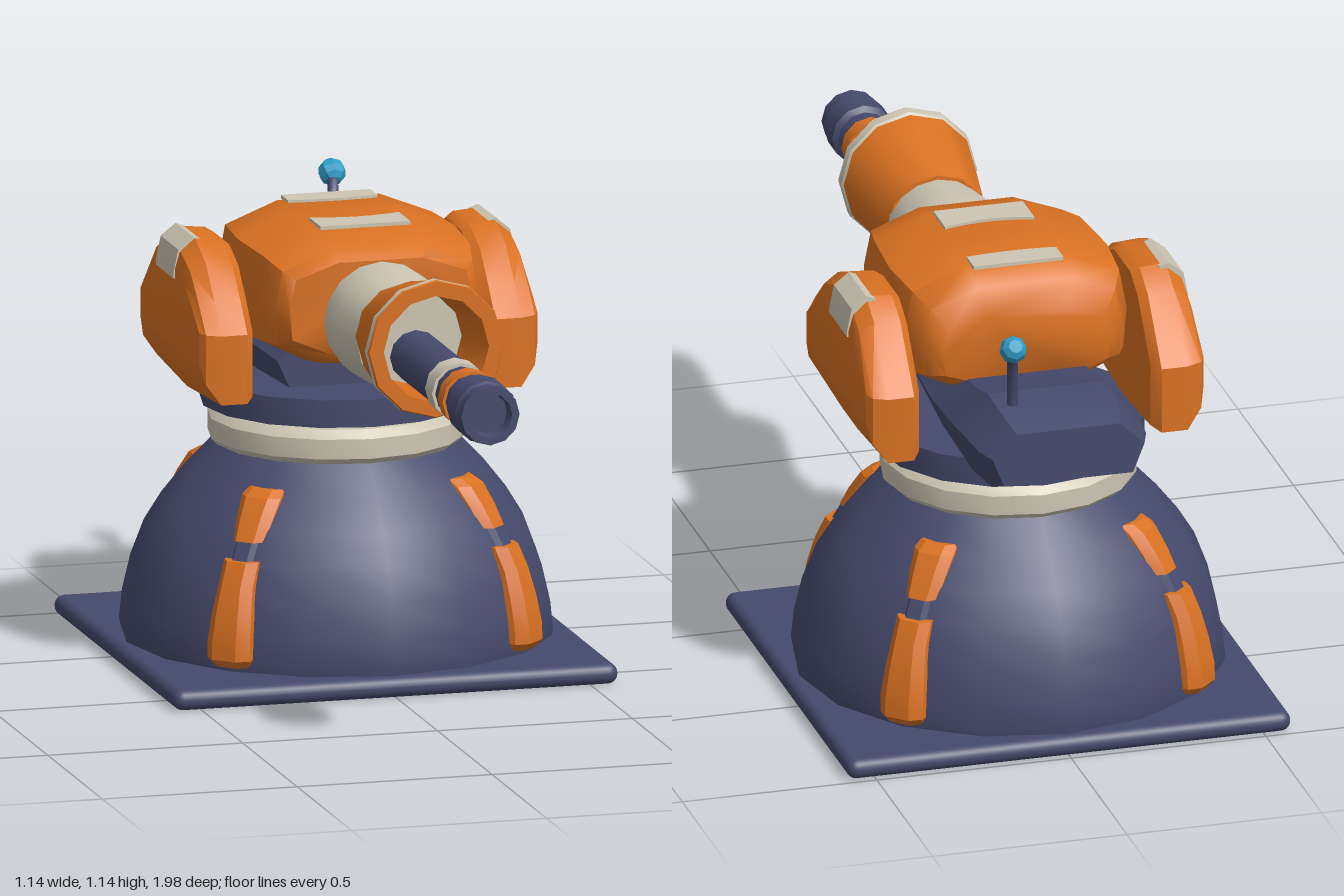
import * as THREE from 'three';
import { toCreasedNormals } from 'three/addons/utils/BufferGeometryUtils.js';
import { RoundedBoxGeometry } from 'three/addons/geometries/RoundedBoxGeometry.js';

const mat = (name, color) => Object.assign(new THREE.MeshStandardMaterial({ color }), { name });
const V = (x, y, z) => new THREE.Vector3(x, y, z);

// Closed solid through equal-length rings of points, always wound outward
function loft(rings, crease = 0.6) {
  const n = rings[0].length, tris = [];
  for (let i = 0; i < rings.length - 1; i++) {
    for (let j = 0; j < n; j++) {
      const k = (j + 1) % n;
      const a = rings[i][j], b = rings[i][k], c = rings[i + 1][k], d = rings[i + 1][j];
      tris.push([a, b, c], [a, c, d]);
    }
  }
  const first = rings[0], last = rings[rings.length - 1];
  for (let j = 1; j < n - 1; j++) {
    tris.push([first[0], first[j + 1], first[j]], [last[0], last[j], last[j + 1]]);
  }
  const volume = tris.reduce((s, [a, b, c]) => s + a.dot(b.clone().cross(c)), 0);
  const pos = [];
  for (const [a, b, c] of tris) {
    for (const p of volume > 0 ? [a, b, c] : [a, c, b]) pos.push(p.x, p.y, p.z);
  }
  const geo = new THREE.BufferGeometry();
  geo.setAttribute('position', new THREE.Float32BufferAttribute(pos, 3));
  return toCreasedNormals(geo, crease);
}

const lathe = (profile, segs, crease = 0.55) =>
  toCreasedNormals(new THREE.LatheGeometry(profile.map(([r, y]) => new THREE.Vector2(r, y)), segs), crease);

export function createModel() {
  const root = new THREE.Group();
  root.name = 'turret';
  const orange = mat('orange', 0xd97122);
  const navy = mat('navy', 0x464a6c);
  const cream = mat('cream', 0xcdc6b4);
  const cyan = mat('cyan', 0x2f9dc6);
  const CZ = -0.43;

  const add = (name, geo, material, parent = root) => {
    const m = new THREE.Mesh(geo, material);
    m.name = name;
    parent.add(m);
    return m;
  };

  // Base plate, dome and the two stacked collars
  add('basePlate', new RoundedBoxGeometry(1.14, 0.052, 1.13, 3, 0.025), navy).position.set(0, 0.027, CZ);
  add('dome', lathe([[0, 0.04], [0.535, 0.04], [0.54, 0.07], [0.533, 0.14], [0.512, 0.23], [0.478, 0.32],
    [0.435, 0.39], [0.38, 0.46], [0.305, 0.54], [0, 0.54]], 16), navy).position.z = CZ;
  add('lowerCollar', lathe([[0, 0.535], [0.3, 0.535], [0.32, 0.555], [0.32, 0.605], [0.3, 0.626], [0, 0.626]], 16),
    cream).position.z = CZ;
  add('upperCollar', lathe([[0, 0.64], [0.34, 0.64], [0.34, 0.71], [0, 0.71]], 16), navy).position.z = CZ;

  // Segmented fins on the four diagonals of the dome: rows of [outer radius, y, half width]
  const finGeo = (rows) => loft(rows.map(([r, y, w]) => [
    V(-w, y, r - 0.14), V(w, y, r - 0.14), V(w, y, r - 0.025), V(w * 0.55, y, r),
    V(-w * 0.55, y, r), V(-w, y, r - 0.025)]), 0.4);
  const finLower = finGeo([[0.55, 0.065, 0.05], [0.567, 0.085, 0.06], [0.565, 0.13, 0.06],
    [0.55, 0.2, 0.055], [0.53, 0.265, 0.048], [0.502, 0.322, 0.048]]);
  const finJoint = finGeo([[0.49, 0.315, 0.036], [0.455, 0.375, 0.036]]);
  const finUpper = finGeo([[0.462, 0.365, 0.045], [0.435, 0.415, 0.05], [0.4, 0.465, 0.055], [0.37, 0.482, 0.05]]);
  for (let i = 0; i < 4; i++) {
    const fin = new THREE.Group();
    fin.name = 'domeFin';
    fin.position.z = CZ;
    fin.rotation.y = Math.PI / 4 + i * Math.PI / 2;
    add('finLower', finLower, orange, fin);
    add('finJoint', finJoint, navy, fin);
    add('finUpper', finUpper, orange, fin);
    root.add(fin);
  }

  // Rounded turret body: sections of [z, half width, bottom, top]
  const half = [[0.46, 1], [0.93, 0.68], [1, 0.05], [0.97, -0.58], [0.55, -0.93]];
  const outline = [...half, [0, -1], ...half.slice().reverse().map(([u, v]) => [-u, v])];
  const hull = ([z, w, lo, hi]) =>
    outline.map(([u, v]) => V(u * w, (lo + hi) / 2 + v * (hi - lo) / 2, z));
  add('turretBody', loft([[-0.015, 0.235, 0.84, 1.08], [-0.05, 0.262, 0.81, 1.105], [-0.15, 0.285, 0.795, 1.13],
    [-0.34, 0.3, 0.79, 1.135], [-0.5, 0.285, 0.8, 1.133], [-0.565, 0.255, 0.82, 1.1],
    [-0.6, 0.215, 0.85, 1.03]].map(hull), 0.9), orange);

  // Two thin plates on the roof, with a bowed inner edge
  for (const [z, depth, bow] of [[-0.525, 0.065, -0.008], [-0.16, 0.105, 0.02]]) {
    const s = new THREE.Shape();
    s.moveTo(-0.115, 0);
    s.lineTo(0.115, 0);
    s.lineTo(0.115, depth);
    s.quadraticCurveTo(0, depth - 2 * bow, -0.115, depth);
    const geo = new THREE.ExtrudeGeometry(s, { depth: 0.009, bevelEnabled: false });
    geo.rotateX(z < -0.4 ? Math.PI / 2 : -Math.PI / 2);
    add('roofPlate', geo, cream).position.set(0, z < -0.4 ? 1.14 : 1.131, z);
  }

  // Rear pod: chamfered sections of [z, half width, bottom, top]
  const pod = ([z, w, lo, hi]) => [[-0.85, 0], [0.85, 0], [1, 0.55], [0.68, 1], [-0.68, 1], [-1, 0.55]]
    .map(([u, t]) => V(u * w, lo + t * (hi - lo), z));
  add('rearPod', loft([[-0.25, 0.2, 0.715, 0.84], [-0.5, 0.22, 0.712, 0.86], [-0.69, 0.225, 0.712, 0.885],
    [-0.79, 0.228, 0.712, 0.912], [-0.92, 0.215, 0.72, 0.895], [-0.975, 0.195, 0.74, 0.875]].map(pod), 0.35), navy);

  // Antenna with a faceted tip
  const curve = new THREE.CatmullRomCurve3([V(0.108, 0.87, -0.848), V(0.11, 0.95, -0.856),
    V(0.116, 1.02, -0.875), V(0.125, 1.065, -0.905), V(0.132, 1.088, -0.94)]);
  add('antennaStem', new THREE.TubeGeometry(curve, 12, 0.014, 8), navy);
  const tip = add('antennaTip', toCreasedNormals(new THREE.SphereGeometry(0.035, 8, 6), 0.2), cyan);
  tip.position.set(0.133, 1.09, -0.942);
  tip.rotation.x = -0.9;

  // Armoured side pods, each with a worn patch over its top outer edge
  const side = [[-0.105, 0.715], [-0.105, 0.89], [-0.17, 0.965], [-0.25, 1.045], [-0.34, 1.083], [-0.5, 1.083],
    [-0.575, 1.04], [-0.7, 0.885], [-0.7, 0.715], [-0.42, 0.695]];
  const armour = [[0.297, 0.9, 0.9, 0.94], [0.318, 1, 0.97, 1], [0.385, 1, 1, 1], [0.422, 0.97, 0.83, 0.72],
    [0.434, 0.9, 0.6, 0.45]];
  for (const s of [1, -1]) {
    const group = new THREE.Group();
    group.name = s > 0 ? 'leftPod' : 'rightPod';
    add('podArmour', loft(armour.map(([x, kz, up, down]) => side.map(([z, y]) =>
      V(s * x, 0.9 + (y - 0.9) * (y > 0.9 ? up : down), -0.4 + (z + 0.4) * kz))), 0.5), orange, group);
    const strip = [[0.365, 1.07], [0.365, 1.08], [0.388, 1.088], [0.426, 1.058], [0.438, 1.0], [0.438, 0.985],
      [0.428, 0.985], [0.42, 1.05], [0.386, 1.07]];
    add('podPatch', loft([-0.355, -0.515].map(z => strip.map(([x, y]) => V(s * x, y, z)))), cream, group);
    root.add(group);
  }

  // Cannon parts: lathe profiles of [radius, z], with a height that may rise along z
  const gun = new THREE.Group();
  gun.name = 'cannon';
  root.add(gun);
  const turned = (name, profile, material, y, rise = 0, segs = 12) => {
    const geo = new THREE.LatheGeometry(profile.map(([r, z]) => new THREE.Vector2(r, z)), segs);
    geo.rotateX(Math.PI / 2);
    const p = geo.attributes.position;
    for (let i = 0; i < p.count; i++) p.setY(i, p.getY(i) + y + rise * p.getZ(i));
    add(name, toCreasedNormals(geo, 0.55), material, gun);
  };
  turned('cannonSleeve', [[0, -0.1], [0.14, -0.1], [0.148, 0], [0.148, 0.09], [0.128, 0.225], [0, 0.225]], cream, 0.93, 0, 16);
  turned('muzzleCone', [[0, 0.205], [0.128, 0.205], [0.138, 0.25], [0.17, 0.455]], orange, 0.928, 0.078);
  turned('muzzleRim', [[0.17, 0.452], [0.175, 0.458], [0.175, 0.484]], cream, 0.928, 0.078);
  turned('muzzleLip', [[0.175, 0.484], [0.172, 0.49], [0.135, 0.49], [0.118, 0.3]], orange, 0.928, 0.078);
  turned('muzzleBack', [[0.12, 0.3], [0, 0.3]], cream, 0.928, 0.078);
  turned('barrel', [[0, 0.22], [0.066, 0.22], [0.066, 0.86], [0.08, 0.87], [0.08, 0.945], [0.075, 0.952],
    [0.075, 0.985], [0.056, 0.985], [0.052, 0.95], [0, 0.95]], navy, 0.907);
  for (const [name, z0, z1, m] of [['creamBand', 0.65, 0.715, cream], ['orangeBand', 0.765, 0.81, orange]]) {
    turned(name, [[0.06, z0], [0.074, z0], [0.074, z1], [0.06, z1]], m, 0.907);
  }
  return root;
}
